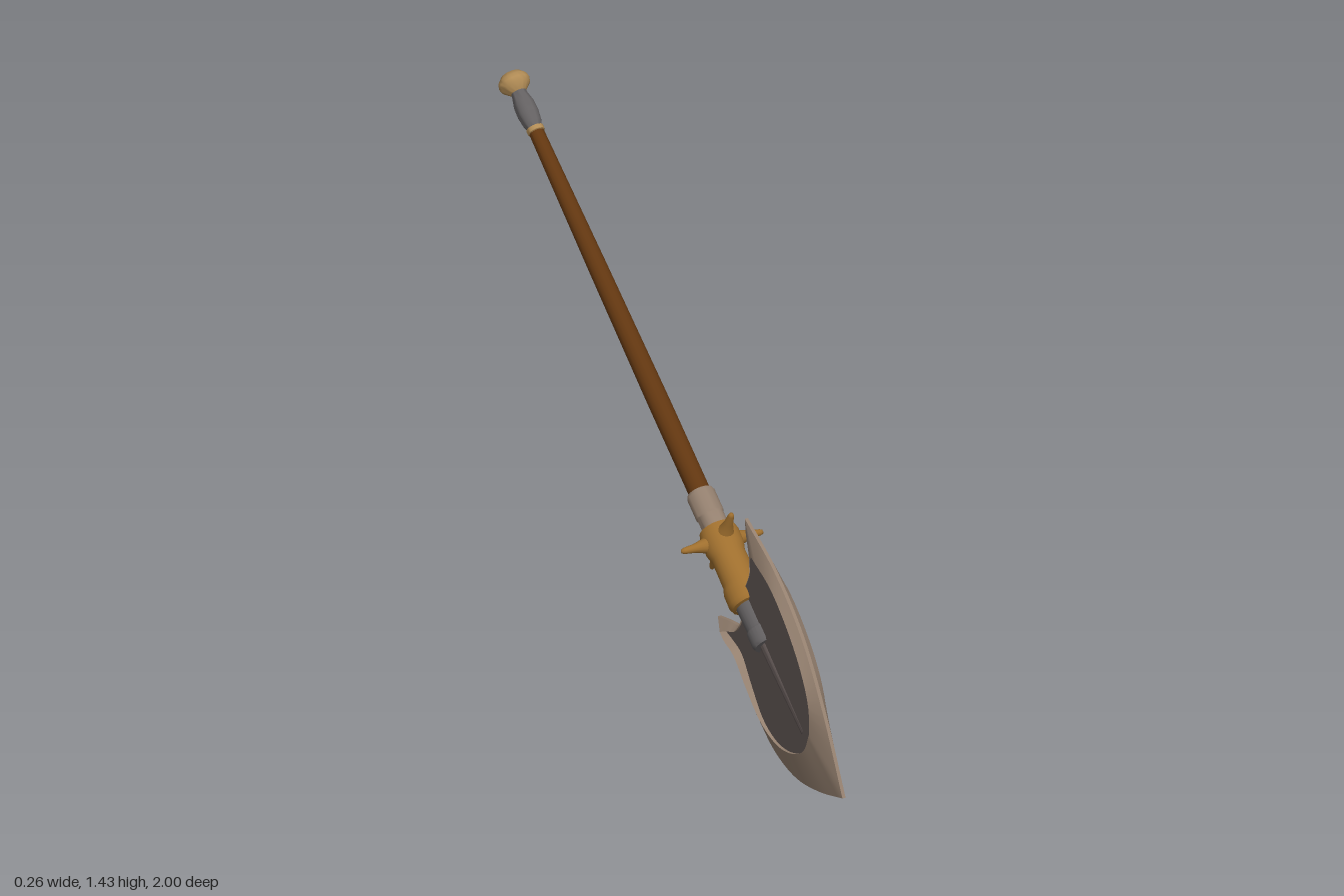
import * as THREE from 'three';
import { toCreasedNormals } from 'three/addons/utils/BufferGeometryUtils.js';

const mat = (name, color) => new THREE.MeshStandardMaterial({ name, color });

export function createModel() {
  const steel = mat('pale steel', 0x94806f);
  const panelMat = mat('dark blade steel', 0x5e5452);
  const iron = mat('iron grey', 0x636061);
  const wood = mat('brown wood', 0x613610);
  const bronze = mat('bronze', 0x9f6f2e);
  const brass = mat('pale brass', 0xb08b55);

  const model = new THREE.Group();
  model.name = 'bladedStaff';
  const add = (parent, name, geometry, material) => {
    const mesh = new THREE.Mesh(geometry, material);
    mesh.name = name;
    parent.add(mesh);
    return mesh;
  };

  // Blade outline in three runs between its sharp corners.
  // Each entry: outer z, y, then inner bevel line z, y and half thickness.
  const runs = [
    [ // tip to upper horn
      [1.0, 0.07, 0.842, 0.2, 0.027], [0.89, 0.27, 0.838, 0.285, 0.027],
      [0.757, 0.455, 0.775, 0.4, 0.027], [0.596, 0.588, 0.62, 0.54, 0.025],
      [0.42, 0.674, 0.484, 0.588, 0.02],
    ],
    [ // notched back
      [0.42, 0.674, 0.484, 0.588, 0.02], [0.43, 0.615, 0.476, 0.576, 0.02],
      [0.457, 0.578, 0.472, 0.564, 0.02], [0.466, 0.535, 0.475, 0.535, 0.02],
      [0.44, 0.48, 0.45, 0.48, 0.02], [0.40, 0.43, 0.41, 0.43, 0.02],
      [0.422, 0.374, 0.43, 0.37, 0.022], [0.393, 0.328, 0.397, 0.315, 0.025],
      [0.33, 0.312, 0.355, 0.297, 0.03], [0.26, 0.294, 0.33, 0.285, 0.036],
    ],
    [ // lower horn to tip
      [0.26, 0.294, 0.33, 0.285, 0.036], [0.313, 0.251, 0.37, 0.277, 0.044],
      [0.398, 0.214, 0.425, 0.258, 0.044], [0.463, 0.139, 0.482, 0.19, 0.038],
      [0.543, 0.059, 0.555, 0.112, 0.03], [0.623, 0.021, 0.64, 0.08, 0.027],
      [0.73, 0.005, 0.73, 0.09, 0.027], [0.864, 0.027, 0.81, 0.135, 0.027],
      [1.0, 0.07, 0.842, 0.2, 0.027],
    ],
  ];
  const outer = [], inner = [];
  for (const run of runs) {
    const a = new THREE.CatmullRomCurve3(run.map(p => new THREE.Vector3(0.005, p[1], p[0])));
    const b = new THREE.CatmullRomCurve3(run.map(p => new THREE.Vector3(p[4], p[3], p[2])));
    const n = (run.length - 1) * 5;
    for (let i = 0; i < n; i++) {
      outer.push(a.getPoint(i / n));
      inner.push(b.getPoint(i / n));
    }
  }

  // Bevelled rim: rows run from one panel, over the edge, to the other panel.
  const PANEL = 0.018;
  const at = (p, x) => [x, p.y, p.z];
  const rows = outer.map((o, i) => {
    const q = inner[i], h = Math.max(q.x, PANEL);
    return [at(q, PANEL), at(q, h), at(o, o.x), at(o, -o.x), at(q, -h), at(q, -PANEL)];
  });
  const pos = [];
  rows.forEach((r, i) => {
    const s = rows[(i + 1) % rows.length];
    for (let k = 0; k < 5; k++) {
      pos.push(...r[k + 1], ...r[k], ...s[k], ...r[k + 1], ...s[k], ...s[k + 1]);
    }
  });
  const rim = new THREE.BufferGeometry();
  rim.setAttribute('position', new THREE.Float32BufferAttribute(pos, 3));
  const blade = new THREE.Group();
  blade.name = 'blade';
  model.add(blade);
  add(blade, 'bladeRim', toCreasedNormals(rim, 0.5), steel);

  // Dark inset panel on each face
  for (const side of [1, -1]) {
    const shape = new THREE.Shape(inner.map(p => new THREE.Vector2(-side * p.z, p.y)));
    const geo = new THREE.ShapeGeometry(shape).rotateY(side * Math.PI / 2).translate(side * PANEL, 0, 0);
    add(blade, 'bladePanel', geo, panelMat);
  }

  // Everything round shares one slanted axis; local y runs up the shaft.
  const axis = new THREE.Group();
  axis.name = 'shaftAssembly';
  axis.position.set(0, 0.449, 0.397);
  axis.rotation.x = -0.964;
  model.add(axis);
  const turned = (name, profile, material, sides = 24, crease = 0.7) => add(axis, name,
    toCreasedNormals(new THREE.LatheGeometry(profile.map(p => new THREE.Vector2(...p)), sides), crease), material);

  turned('bladeRib', [[0, -0.48], [0.02, -0.475], [0.026, -0.17]], panelMat, 16);
  turned('bladeSocket', [[0, -0.19], [0.04, -0.19], [0.045, -0.18], [0.045, -0.14],
    [0.041, -0.135], [0.043, -0.03]], iron);
  turned('spikedCollar', [[0.043, -0.06], [0.054, -0.058], [0.059, -0.045], [0.058, -0.005], [0.051, 0.015],
    [0.049, 0.1], [0.056, 0.125], [0.057, 0.165], [0.05, 0.19], [0.037, 0.195]], bronze);
  turned('upperCollar', [[0.038, 0.18], [0.038, 0.23], [0.041, 0.235], [0.041, 0.3], [0.037, 0.309],
    [0.028, 0.309]], steel);
  turned('shaft', [[0.031, 0.27], [0.031, 0.6], [0.027, 1.05], [0.021, 1.52]], wood, 16);
  turned('shaftRing', [[0.02, 1.488], [0.025, 1.49], [0.025, 1.503], [0.02, 1.505]], brass);
  turned('gripEnd', [[0.021, 1.503], [0.027, 1.52], [0.031, 1.55], [0.03, 1.58], [0.023, 1.61],
    [0.021, 1.635]], iron);
  turned('pommel', [[0.018, 1.615], [0.026, 1.622], [0.042, 1.638], [0.046, 1.65], [0.043, 1.662],
    [0.03, 1.676], [0.012, 1.682], [0, 1.683]], brass, 28, 1.2);

  // Four blunt spikes around the collar
  const spikeProfile = [[0.027, 0.04], [0.02, 0.06], [0.013, 0.085], [0.009, 0.118], [0.006, 0.126], [0, 0.128]];
  for (let i = 0; i < 4; i++) {
    const pivot = new THREE.Group();
    pivot.name = 'spikePivot';
    pivot.position.y = 0.148;
    pivot.rotation.y = i * Math.PI / 2;
    axis.add(pivot);
    const spike = add(pivot, 'collarSpike',
      new THREE.LatheGeometry(spikeProfile.map(p => new THREE.Vector2(...p)), 14), bronze);
    // Spikes in the blade plane lean slightly in opposite directions.
    const lean = i === 3 ? 0.14 : i === 1 ? -0.1 : 0;
    spike.rotation.z = -Math.PI / 2 + lean;
  }
  return model;
}
